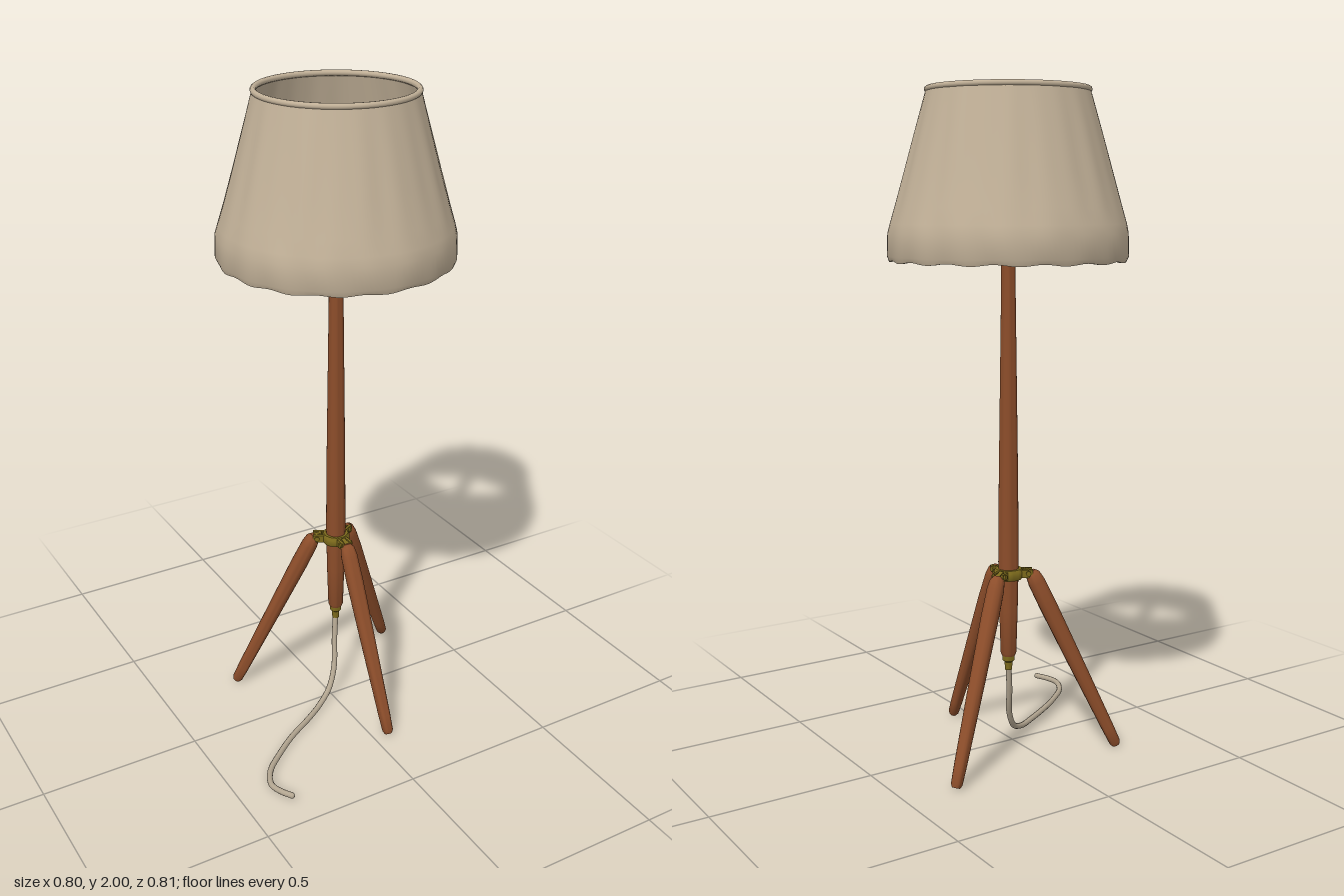
import * as THREE from 'three';
import { toCreasedNormals } from 'three/addons/utils/BufferGeometryUtils.js';

const mat = (name, color, side = THREE.FrontSide) => {
  const m = new THREE.MeshStandardMaterial({ color, side });
  m.name = name;
  return m;
};

export function createModel() {
  const linen = mat('linen', 0xc2b198, THREE.DoubleSide);
  const wood = mat('wood', 0x8c4d2a);
  const brass = mat('brass', 0x7c6a1c, THREE.DoubleSide);
  const cordGrey = mat('cord beige', 0xb3a691);

  const model = new THREE.Group();
  model.name = 'tripodFloorLamp';
  // everything but the cord shares one vertical axis
  const lamp = new THREE.Group();
  lamp.name = 'lamp';
  lamp.position.set(0.05, 0, -0.055);
  model.add(lamp);

  const add = (parent, name, geometry, material) => {
    const mesh = new THREE.Mesh(geometry, material);
    mesh.name = name;
    parent.add(mesh);
    return mesh;
  };
  // profile is a list of [radius, y], going upwards on the outside
  const turned = (profile, sides = 24, crease = 0.7) =>
    toCreasedNormals(new THREE.LatheGeometry(profile.map(([r, y]) => new THREE.Vector2(r, y)), sides), crease);

  // turned wooden post, from below the hub up into the shade
  add(lamp, 'post', turned([
    [0, 0.305], [0.02, 0.305], [0.024, 0.315], [0.028, 0.45], [0.031, 0.6], [0.029, 0.85],
    [0.025, 1.15], [0.021, 1.45], [0.02, 1.6], [0.022, 1.64], [0.026, 1.7], [0.027, 1.85],
    [0.024, 1.9], [0.016, 1.925], [0, 1.935],
  ]), wood);
  add(lamp, 'cordOutlet', turned([
    [0, 0.26], [0.011, 0.26], [0.012, 0.285], [0.018, 0.29], [0.018, 0.307], [0, 0.307],
  ]), brass);

  // flared brass cup under the lamp head
  add(lamp, 'socketCup', turned([
    [0.02, 1.515], [0.028, 1.515], [0.03, 1.53], [0.03, 1.565], [0.036, 1.575], [0.038, 1.59],
    [0.05, 1.605], [0.057, 1.63], [0.057, 1.65], [0.05, 1.65], [0.042, 1.62], [0.02, 1.605],
  ], 28), brass);

  // hub ring holding the legs
  add(lamp, 'hubRing', turned([
    [0.028, 0.548], [0.04, 0.548], [0.044, 0.556], [0.044, 0.572], [0.039, 0.58], [0.028, 0.58],
  ], 28), brass);

  // three splayed legs, each with its bracket
  const top = new THREE.Vector3(0, 0.572, 0.068);
  const foot = new THREE.Vector3(0, 0.008, 0.335);
  const length = top.distanceTo(foot);
  const legShape = turned([
    [0, 0], [0.012, 0], [0.017, 0.01], [0.019, 0.06], [0.024, length * 0.5], [0.027, length * 0.8],
    [0.026, length - 0.04], [0.022, length - 0.014], [0.012, length - 0.002], [0, length],
  ], 18);
  const up = new THREE.Vector3(0, 1, 0);
  for (let i = 0; i < 3; i++) {
    const arm = new THREE.Group();
    arm.name = 'legAssembly' + (i + 1);
    arm.rotation.y = (i * Math.PI * 2) / 3;
    lamp.add(arm);
    const leg = add(arm, 'leg', legShape, wood);
    leg.position.copy(foot);
    leg.quaternion.setFromUnitVectors(up, top.clone().sub(foot).normalize());
    for (const s of [-1, 1]) {
      const lug = add(arm, 'hubLug', new THREE.BoxGeometry(0.008, 0.024, 0.035), brass);
      lug.position.set(s * 0.014, 0.565, 0.055);
    }
    const tongue = add(arm, 'legTongue', new THREE.BoxGeometry(0.013, 0.022, 0.05), brass);
    tongue.position.set(0, 0.562, 0.066);
    tongue.rotation.x = 0.35;
    const pin = add(arm, 'hingePin', new THREE.CylinderGeometry(0.008, 0.008, 0.046, 12), brass);
    pin.rotation.z = Math.PI / 2;
    pin.position.set(0, 0.566, 0.06);
  }

  // pleated fabric shade: a thin shell with an uneven ripple
  const outer = [[0.346, 1.505], [0.352, 1.52], [0.35, 1.585], [0.343, 1.612], [0.328, 1.66], [0.299, 1.76], [0.266, 1.88], [0.236, 1.99]];
  const inner = outer.map(([r, y]) => [r - 0.008, y]).reverse();
  const shade = new THREE.LatheGeometry(
    [...outer, ...inner, outer[0]].map(([r, y]) => new THREE.Vector2(r, y)), 120);
  const pos = shade.attributes.position;
  for (let i = 0; i < pos.count; i++) {
    const x = pos.getX(i), y = pos.getY(i), z = pos.getZ(i);
    const a = Math.atan2(x, z);
    const body = Math.sin(Math.PI * THREE.MathUtils.clamp((y - 1.58) / 0.42, 0, 1));
    const hem = y < 1.6 ? 1 : 0;
    const k = 1 + body * (0.006 * Math.sin(13 * a) + 0.005 * Math.sin(22 * a + 1))
      + hem * (0.003 * Math.sin(18 * a) + 0.003 * Math.sin(7 * a + 2));
    const sag = y < 1.51 ? 0.003 * Math.sin(16 * a) : 0;
    pos.setXYZ(i, x * k, y + sag, z * k);
  }
  add(lamp, 'shade', toCreasedNormals(shade, 0.8), linen);
  const rim = add(lamp, 'shadeRim', new THREE.TorusGeometry(0.232, 0.009, 10, 72), linen);
  rim.rotation.x = Math.PI / 2;
  rim.position.y = 1.991;

  // power cord dropping to the floor and trailing forwards
  const path = new THREE.CatmullRomCurve3([
    [0.05, 0.27, -0.055], [0.037, 0.19, -0.04], [0.018, 0.1, -0.01], [-0.015, 0.042, 0.015],
    [-0.07, 0.018, 0.05], [-0.13, 0.013, 0.088], [-0.23, 0.014, 0.148], [-0.3, 0.013, 0.2],
    [-0.365, 0.014, 0.26], [-0.393, 0.016, 0.32], [-0.385, 0.018, 0.36], [-0.365, 0.02, 0.398],
  ].map((p) => new THREE.Vector3(...p)));
  add(model, 'powerCord', new THREE.TubeGeometry(path, 80, 0.009, 10), cordGrey);
  const end = add(model, 'cordEnd', new THREE.SphereGeometry(0.009, 10, 8), cordGrey);
  end.position.set(-0.365, 0.02, 0.398);

  return model;
}
